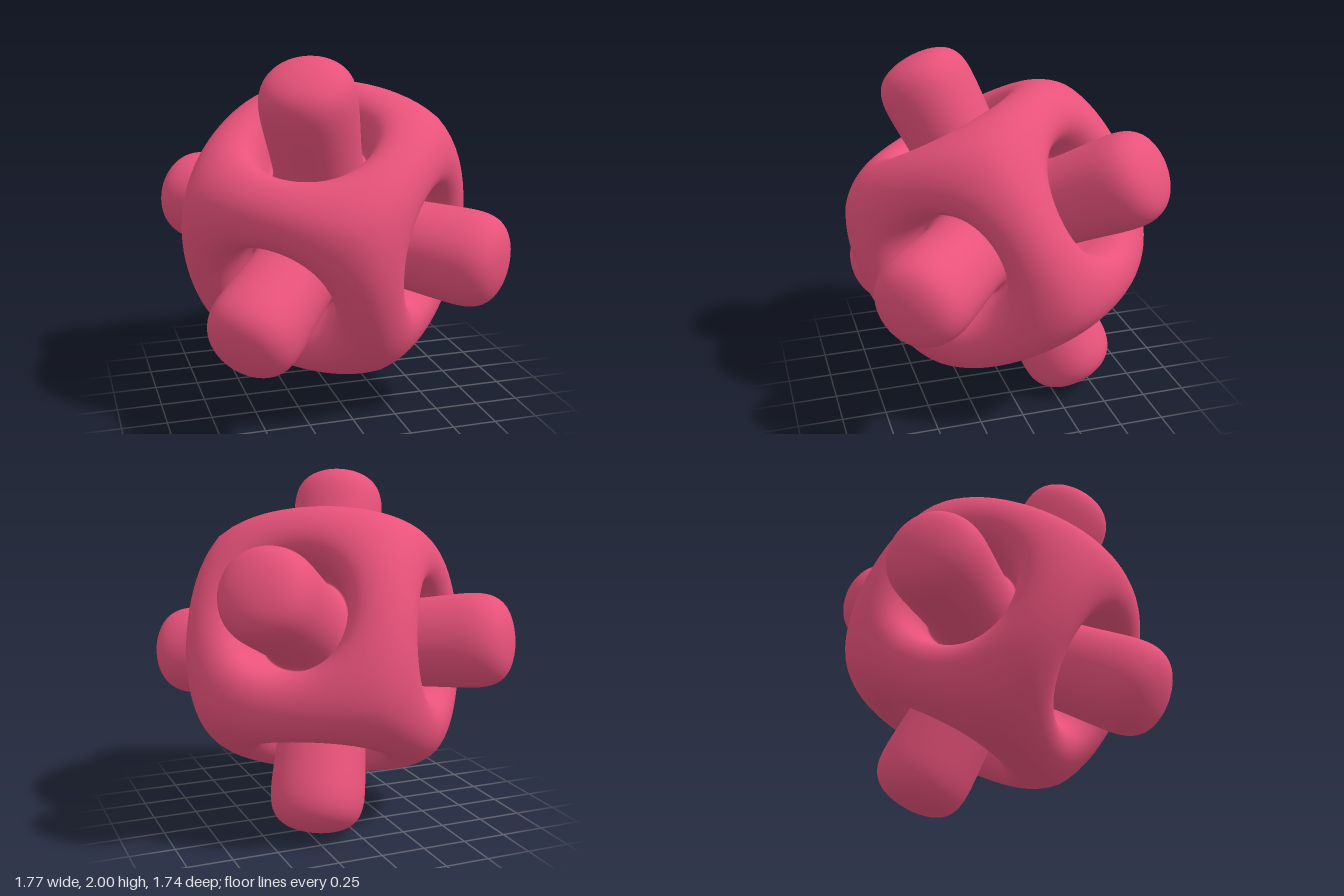
import * as THREE from 'three';

// Square rings for one cube side, from the cube edge inwards: [half width, height]
const RINGS = [
  [0.67, 0.67], // cube edge
  [0.34, 0.67], // pit rim
  [0.31, 0.38], // pit floor, outer
  [0.25, 0.38], // pit floor, inner
  [0.285, 0.78], // peg shaft
  [0.285, 1.1], // peg tip
];

// Control cage: six sides, each with a pit and a peg rising out of it
function buildCage() {
  const verts = [], faces = [], lookup = new Map();
  const vertex = (p) => {
    const key = p.map((c) => Math.round(c * 1000)).join();
    if (!lookup.has(key)) lookup.set(key, verts.push(new THREE.Vector3(...p)) - 1);
    return lookup.get(key);
  };
  for (let axis = 0; axis < 3; axis++) {
    for (const side of [1, -1]) {
      const rings = RINGS.map(([w, h]) =>
        [[-1, -1], [1, -1], [1, 1], [-1, 1]].map(([u, v]) => {
          const p = [0, 0, 0];
          p[axis] = side * h;
          p[(axis + 1) % 3] = u * w;
          p[(axis + 2) % 3] = side * v * w;
          return vertex(p);
        }));
      for (let k = 0; k + 1 < rings.length; k++) {
        for (let j = 0; j < 4; j++) {
          const n = (j + 1) % 4;
          faces.push([rings[k][j], rings[k][n], rings[k + 1][n], rings[k + 1][j]]);
        }
      }
      faces.push(rings[rings.length - 1]);
    }
  }
  return { verts, faces };
}

// One Catmull-Clark step on a closed quad mesh
function subdivide({ verts, faces }) {
  const V = () => new THREE.Vector3();
  const out = verts.map(V);
  const facePoints = faces.map((f) =>
    f.reduce((s, i) => s.add(verts[i]), V()).multiplyScalar(1 / 4));
  const faceIds = facePoints.map((p) => out.push(p) - 1);
  const edges = new Map();
  const edgeKey = (a, b) => Math.min(a, b) * verts.length + Math.max(a, b);
  const sumF = verts.map(V), sumE = verts.map(V), valence = verts.map(() => 0);

  faces.forEach((f, fi) => f.forEach((a, j) => {
    const b = f[(j + 1) % 4], key = edgeKey(a, b);
    sumF[a].add(facePoints[fi]);
    valence[a]++;
    if (!edges.has(key)) {
      const mid = verts[a].clone().add(verts[b]).multiplyScalar(0.5);
      sumE[a].add(mid);
      sumE[b].add(mid);
      edges.set(key, out.push(mid.clone().multiplyScalar(0.5)) - 1);
    }
    out[edges.get(key)].addScaledVector(facePoints[fi], 0.25);
  }));
  verts.forEach((p, i) => {
    const n = valence[i];
    out[i].copy(p).multiplyScalar((n - 3) / n)
      .addScaledVector(sumF[i], 1 / (n * n))
      .addScaledVector(sumE[i], 2 / (n * n));
  });

  const quads = [];
  faces.forEach((f, fi) => f.forEach((a, j) => {
    const next = edges.get(edgeKey(a, f[(j + 1) % 4]));
    const prev = edges.get(edgeKey(a, f[(j + 3) % 4]));
    quads.push([a, next, faceIds[fi], prev]);
  }));
  return { verts: out, faces: quads };
}

export function createModel() {
  let cage = buildCage();
  for (let i = 0; i < 4; i++) cage = subdivide(cage);

  const geometry = new THREE.BufferGeometry().setFromPoints(cage.verts);
  geometry.setIndex(cage.faces.flatMap(([a, b, c, d]) => [a, b, c, a, c, d]));
  geometry.computeVertexNormals();

  // Smooth cube with six pegs in one continuous skin
  const body = new THREE.Mesh(geometry, new THREE.MeshStandardMaterial({ color: 0xe8527a }));
  body.name = 'peggedCube';

  // Tilt so that one peg points up and slightly forward
  const up = new THREE.Vector3(-0.24, 0.88, 0.4).normalize();
  const front = new THREE.Vector3(0.63, 0.46, -0.62).cross(up).normalize();
  const right = up.clone().cross(front);
  body.quaternion.setFromRotationMatrix(new THREE.Matrix4().makeBasis(right, up, front));
  body.position.y = 1;

  const group = new THREE.Group();
  group.name = 'peggedCubeModel';
  group.add(body);
  return group;
}
